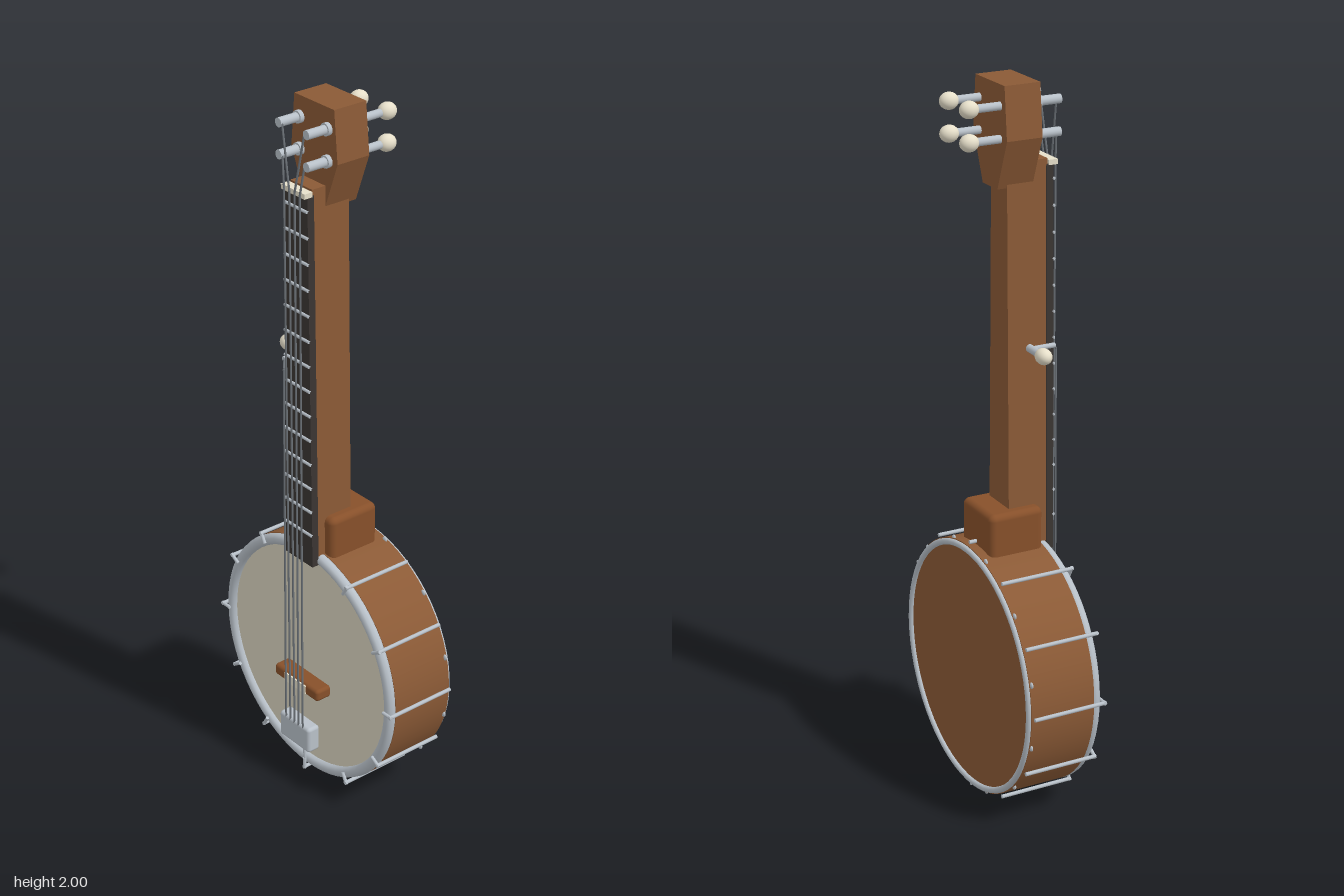
import * as THREE from 'three';
import { RoundedBoxGeometry } from 'three/addons/geometries/RoundedBoxGeometry.js';

const mat = (name, color) => {
  const m = new THREE.MeshStandardMaterial({ color });
  m.name = name;
  return m;
};

export function createModel() {
  const wood = mat('wood', 0x8b5a36);
  const redWood = mat('red wood', 0x87502a);
  const ebony = mat('ebony', 0x3a3532);
  const skin = mat('drum skin', 0xd9d4bf);
  const ivory = mat('ivory', 0xe6dfca);
  const metal = mat('metal', 0xb8c0c8);
  const wire = mat('string wire', 0x6c7278);

  const root = new THREE.Group();
  root.name = 'banjo';
  const group = (name) => {
    const g = new THREE.Group();
    g.name = name;
    root.add(g);
    return g;
  };
  const add = (parent, name, geo, material, x = 0, y = 0, z = 0) => {
    const m = new THREE.Mesh(geo, material);
    m.name = name;
    m.position.set(x, y, z);
    parent.add(m);
    return m;
  };
  // Cylinder between two points
  const rod = (parent, name, a, b, r, material, sides = 10) => {
    const p = new THREE.Vector3(...a), q = new THREE.Vector3(...b);
    const d = q.clone().sub(p);
    const m = add(parent, name, new THREE.CylinderGeometry(r, r, d.length(), sides), material);
    m.position.copy(p).add(q).multiplyScalar(0.5);
    m.quaternion.setFromUnitVectors(new THREE.Vector3(0, 1, 0), d.normalize());
    return m;
  };
  // Symmetric outline of [half width, y] pairs, extruded from z0 to z1
  const plank = (name, rows, z0, z1, material) => {
    const pts = [...rows.map(([w, y]) => [w, y]), ...[...rows].reverse().map(([w, y]) => [-w, y])];
    const shape = new THREE.Shape(pts.map(([x, y]) => new THREE.Vector2(x, y)));
    const geo = new THREE.ExtrudeGeometry(shape, { depth: z1 - z0, bevelEnabled: false });
    return add(root, name, geo, material, 0, 0, z0);
  };

  // Drum body
  const drum = group('drum');
  drum.position.y = 0.377;
  const disc = (r, z0, z1) => new THREE.CylinderGeometry(r, r, z1 - z0, 64).rotateX(Math.PI / 2).translate(0, 0, (z0 + z1) / 2);
  add(drum, 'shell', disc(0.359, -0.106, 0.084), wood);
  add(drum, 'head', disc(0.337, 0.08, 0.092), skin);
  add(drum, 'frontHoop', new THREE.TorusGeometry(0.344, 0.016, 10, 64), metal, 0, 0, 0.092);
  add(drum, 'backHoop', new THREE.TorusGeometry(0.348, 0.009, 10, 64), metal, 0, 0, -0.107);

  // Tension hooks around the rim, with small shoes between them
  for (let i = 0; i < 12; i++) {
    const hook = new THREE.Group();
    hook.name = 'tensionHook';
    hook.rotation.z = (i * Math.PI) / 6;
    drum.add(hook);
    rod(hook, 'hookRod', [0.368, 0, -0.101], [0.368, 0, 0.115], 0.0055, metal);
    rod(hook, 'hookTip', [0.373, 0, 0.111], [0.338, 0, 0.111], 0.005, metal);
    const a = ((i + 0.5) * Math.PI) / 6;
    const shoe = add(drum, 'shoe', new THREE.SphereGeometry(0.009, 10, 8), metal, Math.cos(a) * 0.358, Math.sin(a) * 0.358, -0.1);
    shoe.scale.z = 0.5;
  }

  // Neck, heel, fingerboard and headstock
  add(root, 'heel', new RoundedBoxGeometry(0.17, 0.16, 0.16, 3, 0.018), redWood, 0, 0.764, 0);
  plank('neck', [[0.056, 0.73], [0.043, 1.79]], -0.01, 0.108, wood);
  plank('fingerboard', [[0.058, 0.705], [0.045, 1.775]], 0.104, 0.125, ebony);
  plank('headstock', [[0.04, 1.725], [0.091, 1.86], [0.078, 2]], -0.036, 0.066, wood);
  add(root, 'nut', new THREE.BoxGeometry(0.094, 0.014, 0.026), ivory, 0, 1.779, 0.123);

  const frets = group('frets');
  for (let i = 0; i < 14; i++) {
    const y = 1.735 - i * 0.0717;
    const w = 0.058 - ((y - 0.705) / 1.07) * 0.013;
    rod(frets, 'fret', [-w, y, 0.126], [w, y, 0.126], 0.0045, metal, 8);
  }

  // Bridge and tailpiece
  add(root, 'bridge', new RoundedBoxGeometry(0.188, 0.036, 0.052, 3, 0.01), redWood, 0, 0.308, 0.115);
  add(root, 'saddle', new THREE.BoxGeometry(0.09, 0.026, 0.006), ivory, 0, 0.308, 0.141);
  add(root, 'tailpiece', new RoundedBoxGeometry(0.13, 0.08, 0.042, 3, 0.01), metal, 0, 0.145, 0.128);
  rod(root, 'tailpieceStrap', [0, 0.11, 0.115], [0, 0.025, 0.108], 0.004, metal);

  // Headstock tuners
  const tuners = group('tuners');
  for (const y of [1.86, 1.945]) {
    for (const x of [-0.055, 0.055]) {
      rod(tuners, 'post', [x, y, 0.06], [x, y, 0.136], 0.0125, metal, 16);
      rod(tuners, 'postCollar', [x, y, 0.064], [x, y, 0.078], 0.017, metal, 16);
      rod(tuners, 'shaft', [x, y, -0.03], [x, y, -0.11], 0.011, metal, 16);
      const knob = add(tuners, 'knob', new THREE.SphereGeometry(0.023, 20, 14), ivory, x, y, -0.124);
      knob.scale.z = 1.13;
    }
  }

  // Fifth tuner on the side of the neck
  const side = group('sideTuner');
  rod(side, 'shaft', [-0.035, 1.287, 0.054], [-0.105, 1.287, 0.054], 0.011, metal, 16);
  rod(side, 'post', [-0.058, 1.287, 0.054], [-0.058, 1.287, 0.125], 0.007, metal, 12);
  add(side, 'knob', new THREE.SphereGeometry(0.022, 20, 14), ivory, -0.125, 1.287, 0.054).scale.x = 1.25;

  // Strings: tailpiece, bridge, nut, tuner post
  const strings = group('strings');
  const ends = [null, [-0.055, 1.86], [-0.055, 1.945], [0.055, 1.945], [0.055, 1.86]];
  ends.forEach((end, i) => {
    const x = (i - 2) * 0.0185;
    const path = [[x, 0.15, 0.146], [x, 0.308, 0.146]];
    if (end) {
      const nx = (i - 2.5) * 0.021;
      path.push([nx, 1.779, 0.138], [end[0] * 0.8, end[1], 0.132]);
    } else {
      path.push([-0.038, 1.27, 0.14], [-0.058, 1.287, 0.122]);
    }
    for (let k = 1; k < path.length; k++) rod(strings, 'string', path[k - 1], path[k], 0.003, wire, 6);
  });

  return root;
}
